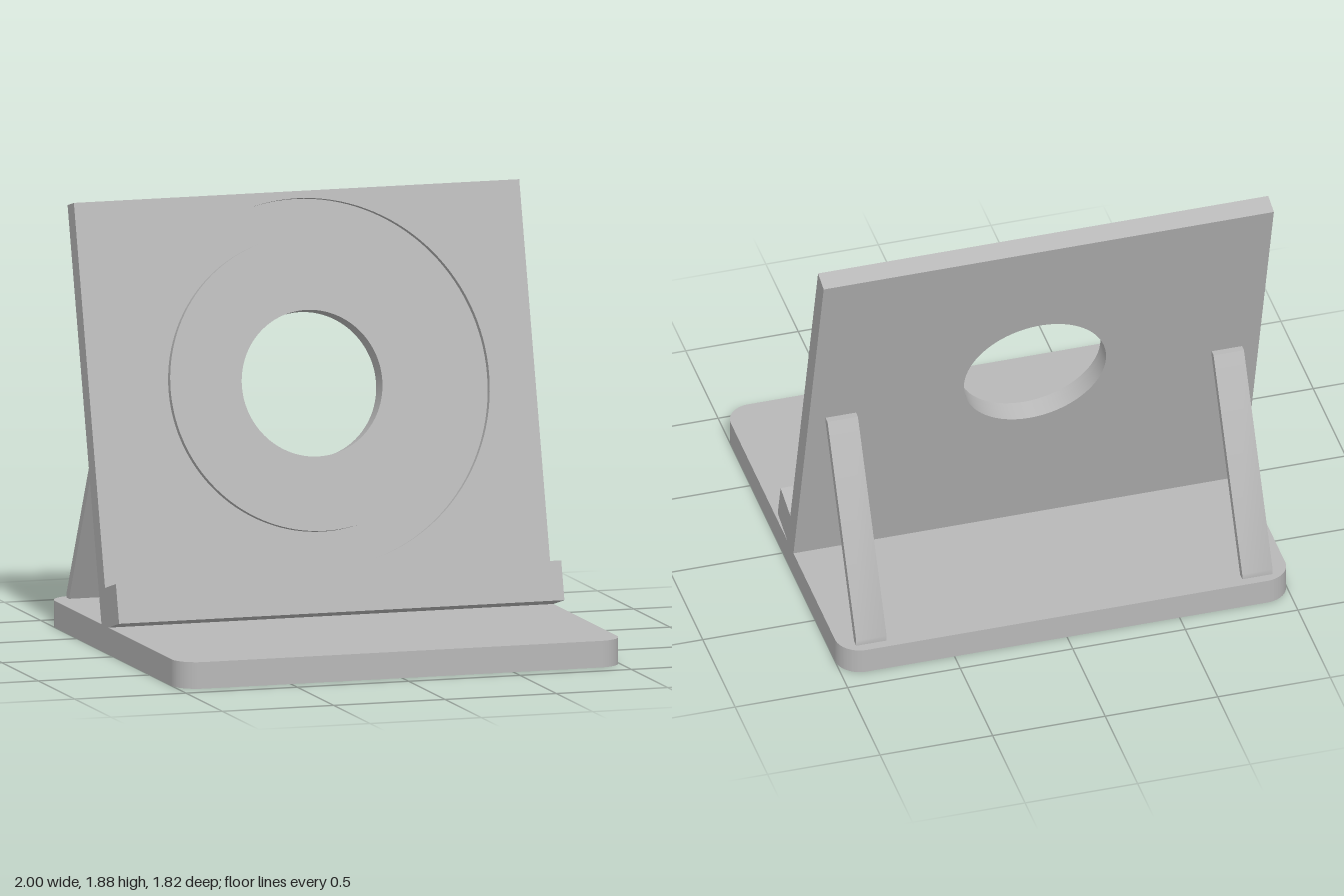
import * as THREE from 'three';
import { toCreasedNormals } from 'three/addons/utils/BufferGeometryUtils.js';

const LEAN = THREE.MathUtils.degToRad(15);
const PANEL_H = 1.826, CENTRE_Y = 1.0;

// Extrude a shape and keep curved walls smooth with sharp rims
function extrude(shape, depth) {
  const geo = new THREE.ExtrudeGeometry(shape, { depth, bevelEnabled: false, curveSegments: 64 });
  return toCreasedNormals(geo, 0.5);
}

function circle(path, radius) {
  path.absarc(0, CENTRE_Y, radius, 0, Math.PI * 2, false);
  return path;
}

function panelShape(holeRadius) {
  const s = new THREE.Shape();
  s.moveTo(-1, 0).lineTo(1, 0).lineTo(1, PANEL_H).lineTo(-1, PANEL_H).closePath();
  s.holes.push(circle(new THREE.Path(), holeRadius));
  return s;
}

function roundedRect(w, d, r) {
  const s = new THREE.Shape();
  const x = w / 2 - r, y = d / 2 - r;
  s.absarc(x, y, r, 0, Math.PI / 2);
  s.absarc(-x, y, r, Math.PI / 2, Math.PI);
  s.absarc(-x, -y, r, Math.PI, Math.PI * 1.5);
  s.absarc(x, -y, r, Math.PI * 1.5, Math.PI * 2);
  s.closePath();
  return s;
}

export function createModel() {
  const grey = new THREE.MeshStandardMaterial({ color: 0xb8b8b8 });
  grey.name = 'grey';
  const model = new THREE.Group();
  model.name = 'stand';

  function add(parent, name, geo) {
    const mesh = new THREE.Mesh(geo, grey);
    mesh.name = name;
    parent.add(mesh);
    return mesh;
  }

  // Flat base with rounded corners
  add(model, 'base', extrude(roundedRect(2, 1.824, 0.11), 0.115)).rotation.x = -Math.PI / 2;

  // Leaning back rest; local z = 0 is its front face
  const rest = new THREE.Group();
  rest.name = 'backRest';
  rest.position.set(0, 0.115, -0.07);
  rest.rotation.x = -LEAN;
  model.add(rest);

  // Back plate with the centre hole, then the front layer that leaves a ring groove
  add(rest, 'backPlate', extrude(panelShape(0.315), 0.06)).position.z = -0.09;
  add(rest, 'frontPlate', extrude(panelShape(0.795), 0.03)).position.z = -0.03;
  const disc = circle(new THREE.Shape(), 0.635);
  disc.holes.push(circle(new THREE.Path(), 0.315));
  add(rest, 'centreRing', extrude(disc, 0.03)).position.z = -0.03;

  // Ledge along the foot of the rest
  const ledge = add(rest, 'ledge', new THREE.BoxGeometry(2, 0.171, 0.155));
  ledge.position.set(0, 0.0855, 0.0775);

  // Slanted struts behind, profile drawn as (-z, y)
  const profile = new THREE.Shape([
    [0.84, 0.112], [0.871, 0.112], [0.871, 0.14], [0.428, 0.99], [0.396, 0.99], [0.394, 0.975],
  ].map(([a, b]) => new THREE.Vector2(a, b)));
  for (const [name, x] of [['leftStrut', 0.79], ['rightStrut', -0.925]]) {
    const strut = add(model, name, extrude(profile, 0.135));
    strut.rotation.y = Math.PI / 2;
    strut.position.x = x;
  }
  return model;
}
